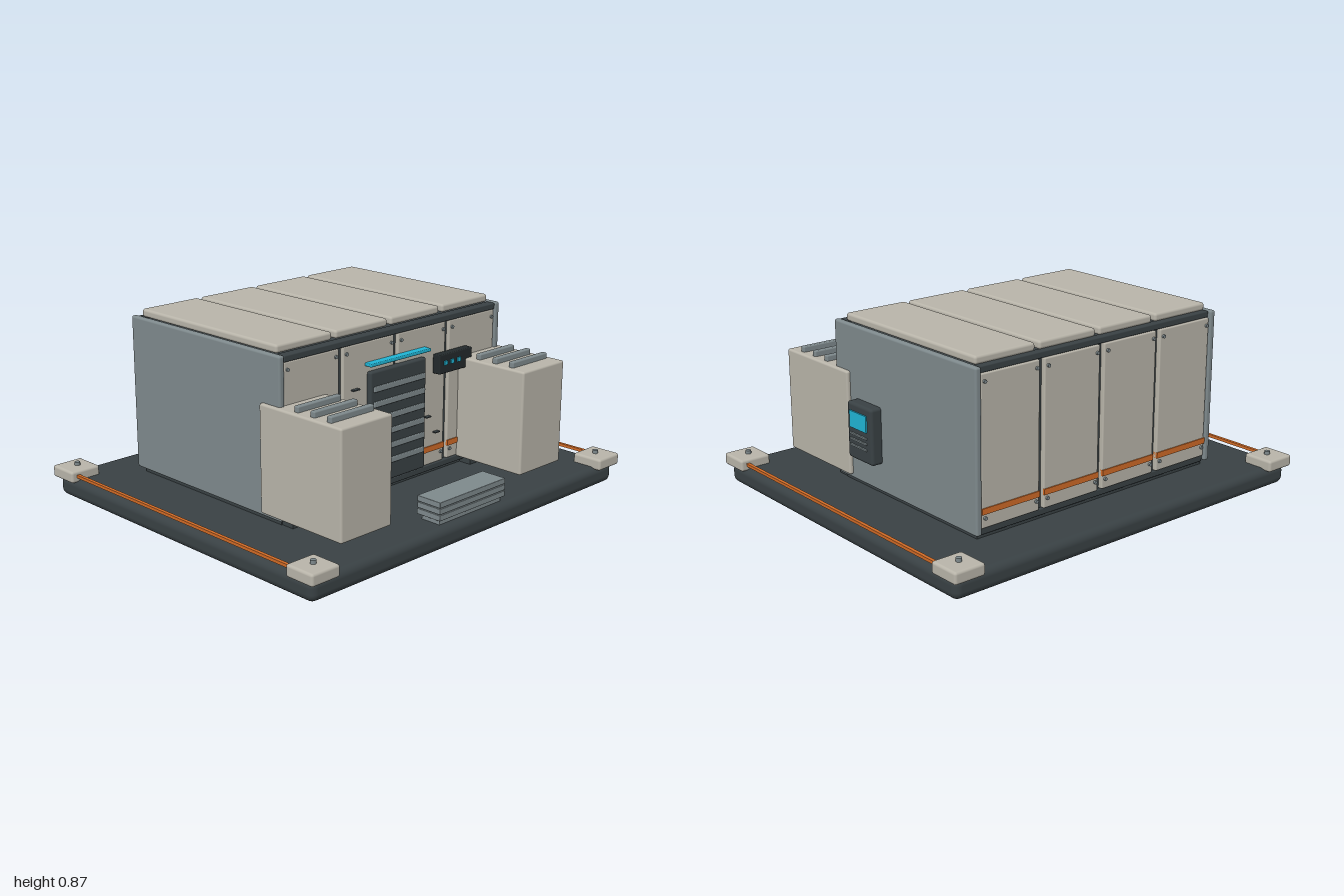
import * as THREE from 'three';
import { RoundedBoxGeometry } from 'three/addons/geometries/RoundedBoxGeometry.js';

const paint = (color) => new THREE.MeshStandardMaterial({ color });

export function createModel() {
  const model = new THREE.Group();
  const dark = paint(0x394144), beige = paint(0xb8b4a9), steel = paint(0x7e898c);
  const orange = paint(0xcf6a26), cyan = paint(0x20b4d4), black = paint(0x23292b);

  // box given by its limits on each axis, with an optional edge radius
  function box(name, mat, [x0, x1], [y0, y1], [z0, z1], radius = 0, parent = model) {
    const w = x1 - x0, h = y1 - y0, d = z1 - z0;
    const geo = radius ? new RoundedBoxGeometry(w, h, d, 3, radius) : new THREE.BoxGeometry(w, h, d);
    const mesh = new THREE.Mesh(geo, mat);
    mesh.name = name;
    mesh.position.set((x0 + x1) / 2, (y0 + y1) / 2, (z0 + z1) / 2);
    parent.add(mesh);
    return mesh;
  }
  const around = (c, size) => [c - size / 2, c + size / 2];
  function bolt(name, x, y, z, radius, height, alongZ) {
    const mesh = new THREE.Mesh(new THREE.CylinderGeometry(radius, radius, height, 12), steel);
    mesh.name = name;
    mesh.position.set(x, y, z);
    if (alongZ) mesh.rotation.x = Math.PI / 2;
    model.add(mesh);
  }

  // base slab with corner pads and edge strips
  box('baseSlab', dark, [-0.98, 0.98], [0, 0.097], [-0.845, 0.845], 0.035);
  for (const sx of [-1, 1]) {
    box('edgeStrip', orange, around(sx * 0.963, 0.016), [0.108, 0.122], [-0.73, 0.73]);
    for (const sz of [-1, 1]) {
      box('cornerPad', beige, around(sx * 0.922, 0.152), [0.085, 0.14], around(sz * 0.79, 0.152), 0.012);
      bolt('padBolt', sx * 0.917, 0.145, sz * 0.787, 0.013, 0.022);
    }
  }

  // main body: core, end walls and rails
  box('bodyCore', dark, [-0.67, 0.67], [0.097, 0.825], [-0.595, 0.335]);
  for (const sx of [-1, 1])
    box('endWall', steel, around(sx * 0.68, 0.03), [0.12, 0.837], [-0.625, 0.36], 0.01);
  for (const y of [0.13, 0.82]) {
    box('frontRail', dark, [-0.665, 0.665], around(y, 0.03), [0.31, 0.357], 0.006);
    box('backRail', dark, [-0.665, 0.665], around(y, 0.03), [-0.61, -0.57], 0.006);
  }

  // four bays of wall and roof panels with bolts at the panel corners
  for (let i = 0; i < 4; i++) {
    const x = (i - 1.5) * 0.338;
    box('roofPanel', beige, around(x, 0.316), [0.833, 0.87], [-0.585, 0.31], 0.012);
    box('frontPanel', beige, around(x, 0.312), [0.145, 0.805], [0.325, 0.353], 0.006);
    box('backPanel', beige, around(x, 0.312), [0.145, 0.805], [-0.617, -0.585], 0.006);
    box('frontStripe', orange, around(x, 0.312), [0.207, 0.234], [0.345, 0.358]);
    box('backStripe', orange, around(x, 0.312), [0.207, 0.234], [-0.622, -0.6]);
    for (const dx of [-0.138, 0.138])
      for (const y of [0.19, 0.772]) {
        bolt('frontBolt', x + dx, y, 0.354, 0.008, 0.012, true);
        bolt('backBolt', x + dx, y, -0.62, 0.008, 0.012, true);
      }
  }

  // small scuffs on the front panels: x, y, length
  const scuffs = [[-0.26, 0.607, 0.04], [-0.37, 0.527, 0.02], [-0.295, 0.545, 0.02], [-0.41, 0.397, 0.025],
    [-0.27, 0.288, 0.025], [0.205, 0.382, 0.03], [0.265, 0.297, 0.03], [-0.22, 0.45, 0.015]];
  for (const [x, y, len] of scuffs)
    box('scuff', dark, around(x, len), around(y, 0.005), [0.35, 0.372]);

  // slatted door with a light bar above
  box('door', dark, [-0.18, 0.175], [0.15, 0.67], [0.34, 0.376], 0.01);
  for (let i = 0; i < 6; i++)
    box('doorSlat', steel, [-0.163, 0.163], around(0.243 + i * 0.0693, 0.026), [0.365, 0.384], 0.004);
  box('doorLight', cyan, [-0.195, 0.188], [0.698, 0.713], [0.35, 0.392], 0.004);

  // status plate beside the door
  box('statusPlate', black, [0.243, 0.465], [0.578, 0.668], [0.352, 0.395], 0.005);
  for (const x of [0.28, 0.325, 0.37])
    box('statusLamp', cyan, around(x, 0.02), around(0.628, 0.02), [0.385, 0.401]);

  // front cabinets with raised fins
  for (const sx of [-1, 1]) {
    box('cabinet', beige, around(sx * 0.566, 0.292), [0.138, 0.622], [0.25, 0.732], 0.01);
    box('cabinetFoot', dark, around(sx * 0.566, 0.2), [0.095, 0.145], [0.3, 0.4]);
    for (const z of [0.45, 0.545, 0.64])
      box('cabinetFin', steel, around(sx * 0.566, 0.245), [0.615, 0.648], around(z, 0.027), 0.006);
  }

  // stacked step
  for (let i = 0; i < 3; i++)
    box('step', steel, [-0.215, 0.212], around(0.133 + i * 0.029, 0.026), [0.685, 0.815], 0.003);
  box('stepBase', steel, [-0.2, 0.2], [0.09, 0.2], [0.7, 0.8]);

  // control terminal on the left wall
  box('terminal', dark, [0.685, 0.748], [0.25, 0.51], [0.022, 0.205], 0.014);
  box('terminalScreen', cyan, [0.74, 0.755], [0.398, 0.474], [0.055, 0.177]);
  for (const y of [0.37, 0.345, 0.317])
    box('terminalLine', steel, [0.74, 0.756], around(y, 0.007), [0.055, 0.18]);

  return model;
}
